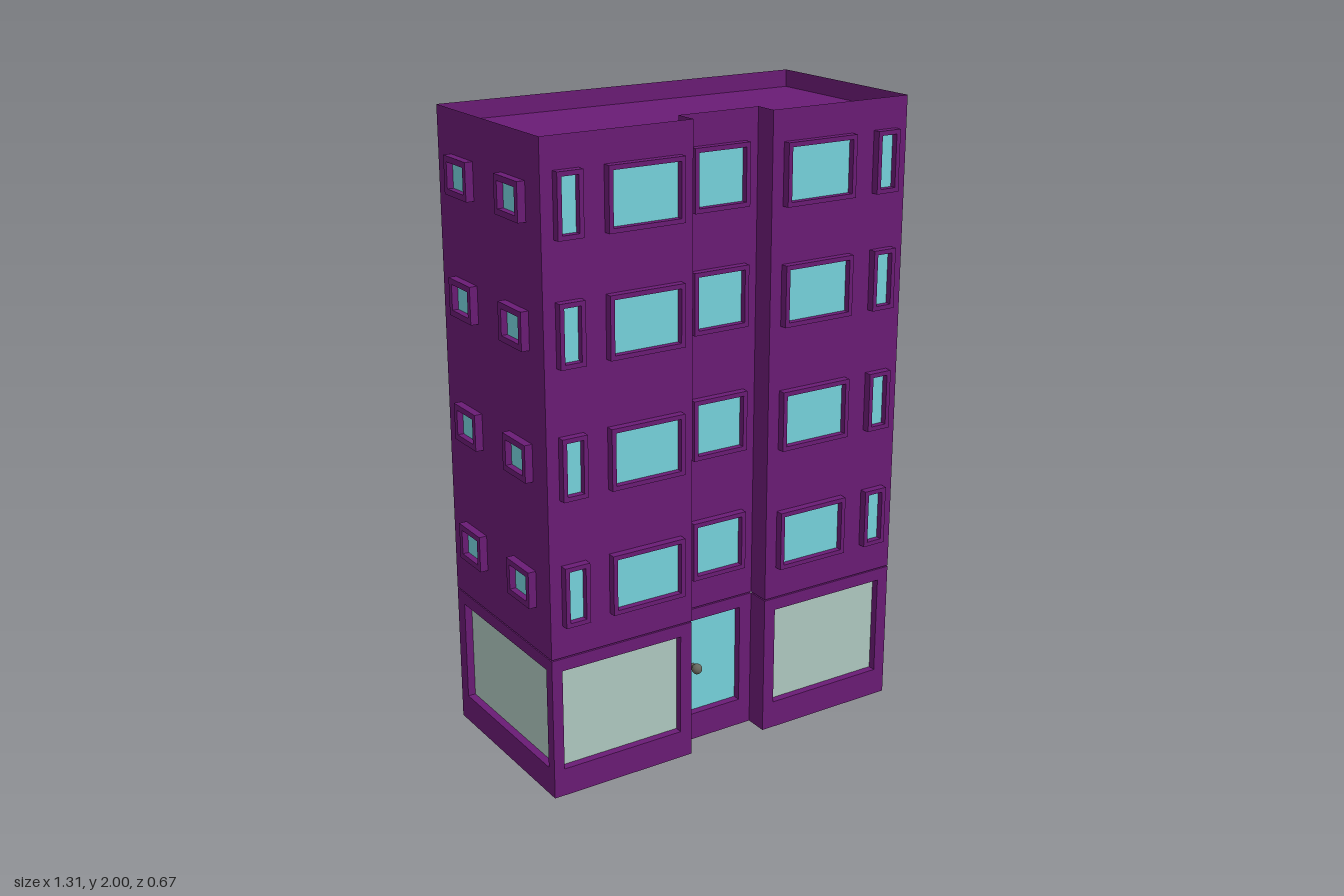
import * as THREE from 'three';

const material = (color) => new THREE.MeshStandardMaterial({ color, side: THREE.DoubleSide });
const wallMat = material(0x6a1b75);
const glassMat = material(0x76d2dc);
const shopGlassMat = material(0xafc9c0);
const knobMat = material(0x66665c);

const TOP = 2, ROOF = 1.945, SEAM = 0.457, GAP = 0.004;
const THICK = 0.03;   // ground floor wall depth
const PROUD = 0.025;  // how far window frames stand out

// Rectangle path from its edges
function rect(Type, x0, x1, y0, y1) {
  const p = new Type();
  p.moveTo(x0, y0);
  p.lineTo(x1, y0);
  p.lineTo(x1, y1);
  p.lineTo(x0, y1);
  p.closePath();
  return p;
}

function add(parent, name, geometry, mat, x = 0, y = 0, z = 0) {
  const mesh = new THREE.Mesh(geometry, mat);
  mesh.name = name;
  mesh.position.set(x, y, z);
  parent.add(mesh);
  return mesh;
}

const slab = (shape, depth) => new THREE.ExtrudeGeometry(shape, { depth, bevelEnabled: false });

// Raised frame around a pane set back to the wall
function addWindow(parent, x, y, w, h, margin) {
  const win = new THREE.Group();
  win.name = 'window';
  win.position.set(x, y, 0);
  const outline = rect(THREE.Shape, -w / 2, w / 2, -h / 2, h / 2);
  const iw = w / 2 - margin, ih = h / 2 - margin;
  outline.holes.push(rect(THREE.Path, -iw, iw, -ih, ih));
  add(win, 'windowFrame', slab(outline, PROUD), wallMat);
  add(win, 'windowPane', new THREE.PlaneGeometry(iw * 2, ih * 2), glassMat, 0, 0, 0.005);
  parent.add(win);
}

// Rows of windows: centre heights shared by all sides
const rows = [0.658, 1.052, 1.445, 1.81];
const mainSize = { h: 0.19, margin: 0.014 };
const sideSize = { h: 0.115, margin: 0.018 };
const narrow = 0.082, wide = 0.25, middle = 0.192;

const frontLeft = [[-0.55, narrow], [-0.305, wide]];
const frontMiddle = [[-0.003, middle]];
const frontRight = [[0.3, wide], [0.547, narrow]];
const backAll = [...frontLeft, ...frontMiddle, ...frontRight].map(([x, w]) => [-x, w]);
const sideCols = [[-0.153, 0.137], [0.158, 0.137]];

// Each wall: facing angle, distance from the centre, extent along it,
// ground floor openings and upper window columns [centre, width]
const walls = [
  { name: 'frontWallRight', angle: 0, dist: 0.305, u: [-0.63, -0.14], open: [[-0.595, -0.18]], cols: frontLeft },
  { name: 'entranceWall', angle: 0, dist: 0.23, u: [-0.14, 0.135], open: [[-0.1, 0.092]], cols: frontMiddle, door: true },
  { name: 'frontWallLeft', angle: 0, dist: 0.305, u: [0.135, 0.63], open: [[0.175, 0.59]], cols: frontRight },
  { name: 'leftWall', angle: Math.PI / 2, dist: 0.63, u: [-0.305, 0.31], open: [[-0.27, 0.265]], cols: sideCols, side: true },
  { name: 'backWall', angle: Math.PI, dist: 0.31, u: [-0.63, 0.63], open: [[-0.595, -0.065], [0.065, 0.595]], cols: backAll },
  { name: 'rightWall', angle: -Math.PI / 2, dist: 0.63, u: [-0.31, 0.305], open: [[-0.265, 0.27]],
    cols: sideCols.map(([x, w]) => [-x, w]), side: true },
  { name: 'entranceReturnRight', angle: Math.PI / 2, dist: -0.14, u: [-0.305, -0.23], open: [], cols: [] },
  { name: 'entranceReturnLeft', angle: -Math.PI / 2, dist: -0.135, u: [0.23, 0.305], open: [], cols: [] },
];

// Round knobs on both faces of the door
function addKnobs(parent, x, y, z) {
  for (const s of [-1, 1]) {
    const stem = new THREE.CylinderGeometry(0.007, 0.009, 0.02, 12).rotateX(Math.PI / 2);
    add(parent, 'knobStem', stem, knobMat, x, y, z + s * 0.01);
    add(parent, 'doorKnob', new THREE.SphereGeometry(0.017, 16, 12), knobMat, x, y, z + s * 0.025);
  }
}

function buildWall({ name, angle, dist, u, open, cols, door, side }) {
  const wall = new THREE.Group();
  wall.name = name;
  wall.rotation.y = angle;
  wall.position.set(Math.sin(angle) * dist, 0, Math.cos(angle) * dist);

  // Ground floor wall with deep openings
  const ground = rect(THREE.Shape, u[0], u[1], 0, SEAM);
  for (const [a, b] of open) {
    ground.holes.push(rect(THREE.Path, a, b, 0.09, 0.417));
    const pane = new THREE.PlaneGeometry(b - a, 0.327);
    add(wall, door ? 'door' : 'shopWindow', pane, door ? glassMat : shopGlassMat, (a + b) / 2, 0.2535, -THICK + 0.005);
  }
  add(wall, 'groundFloorWall', slab(ground, THICK), wallMat, 0, 0, -THICK);
  if (door) addKnobs(wall, -0.07, 0.245, -THICK + 0.005);

  // Thin upper wall, rising past the roof as a parapet
  const upper = rect(THREE.Shape, u[0], u[1], SEAM + GAP, TOP);
  add(wall, 'upperWall', new THREE.ShapeGeometry(upper), wallMat);

  const { h, margin } = side ? sideSize : mainSize;
  for (const y of rows) for (const [x, w] of cols) addWindow(wall, x, y, w, h, margin);
  return wall;
}

export function createModel() {
  const building = new THREE.Group();
  building.name = 'apartmentBuilding';
  for (const wall of walls) building.add(buildWall(wall));

  // Sunken roof following the footprint
  const footprint = new THREE.Shape([
    [-0.63, -0.31], [0.63, -0.31], [0.63, 0.305], [0.135, 0.305],
    [0.135, 0.23], [-0.14, 0.23], [-0.14, 0.305], [-0.63, 0.305],
  ].map(([x, z]) => new THREE.Vector2(x, -z)));
  add(building, 'roof', new THREE.ShapeGeometry(footprint).rotateX(-Math.PI / 2), wallMat, 0, ROOF, 0);
  return building;
}
